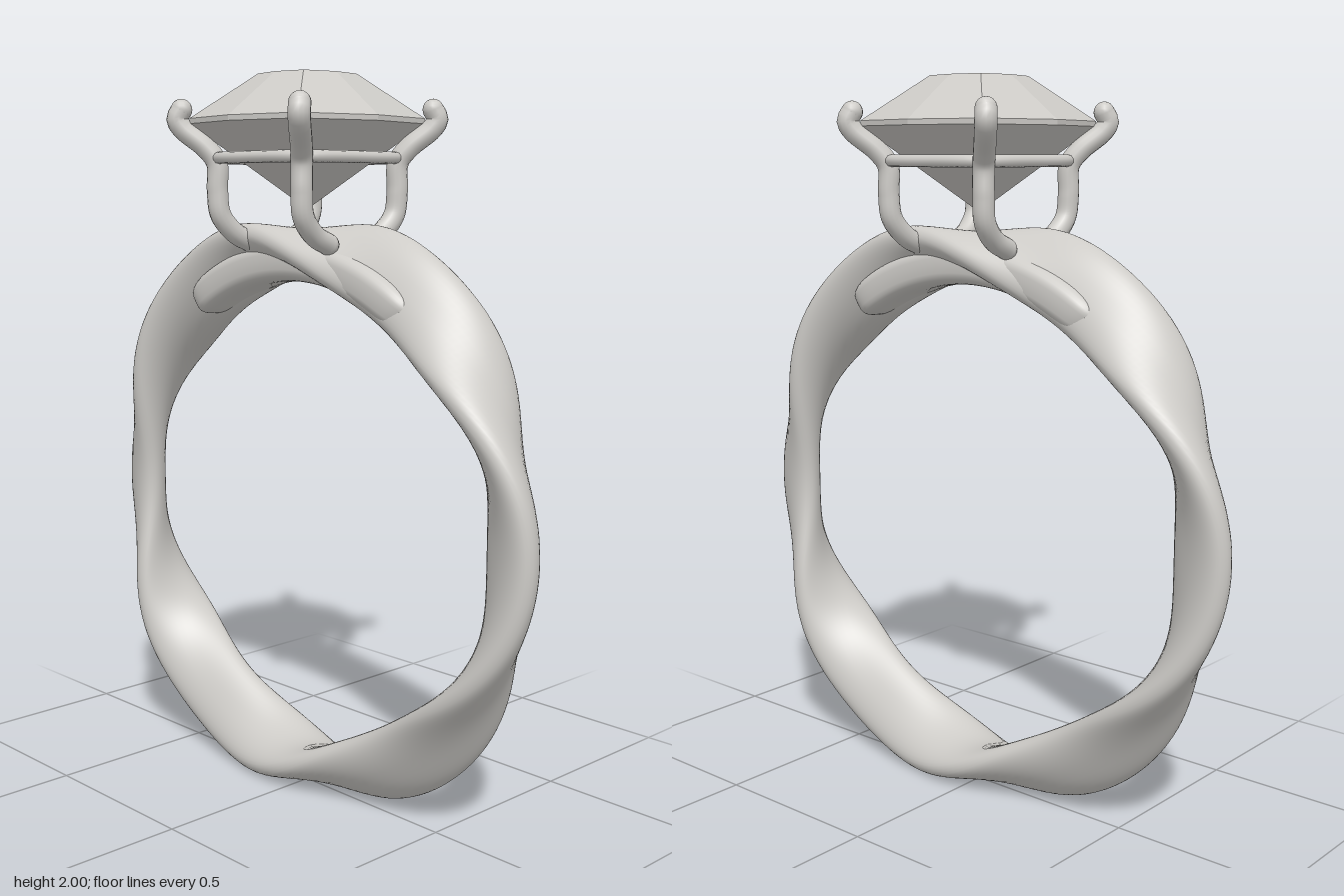
import * as THREE from 'three';

const metal = new THREE.MeshStandardMaterial({ color: 0xcdcbc7 });
metal.name = 'pale silver';

const CENTRE_Y = 0.8;

// Sweep a section around the finger hole: section(t, s) gives [angle, radius, z]
function sweep(section, nT, nS, closed) {
  const pos = [], index = [];
  const rows = closed ? nT : nT + 1;
  for (let i = 0; i < rows; i++) {
    for (let j = 0; j < nS; j++) {
      const [angle, r, z] = section(i / nT, (j / nS) * Math.PI * 2);
      pos.push(r * Math.cos(angle), CENTRE_Y + r * Math.sin(angle), z);
    }
  }
  for (let i = 0; i < nT; i++) {
    for (let j = 0; j < nS; j++) {
      const i2 = (i + 1) % rows, j2 = (j + 1) % nS;
      const a = i * nS + j, b = i * nS + j2, c = i2 * nS + j, d = i2 * nS + j2;
      index.push(a, b, c, b, d, c);
    }
  }
  const g = new THREE.BufferGeometry();
  g.setAttribute('position', new THREE.Float32BufferAttribute(pos, 3));
  g.setIndex(index);
  g.computeVertexNormals();
  return g;
}

const soft = (v, p) => Math.sign(v) * Math.abs(v) ** p;

// Flat oval section that rocks to and fro three times round the ring
function bandSection(t, s) {
  const angle = t * Math.PI * 2;
  const tilt = 1.03 * Math.cos(3 * angle);
  const u = 0.115 * soft(Math.cos(s), 0.9), v = 0.052 * soft(Math.sin(s), 0.9);
  return [
    angle,
    0.738 + u * Math.sin(tilt) + v * Math.cos(tilt),
    u * Math.cos(tilt) - v * Math.sin(tilt),
  ];
}

// Round-ended bar that thickens the top of the band
function bridgeSection(t, s) {
  const k = Math.sin((t - 0.5) * Math.PI);
  const scale = Math.sqrt(Math.max(0, 1 - Math.abs(k) ** 14));
  return [
    Math.PI / 2 + k * 0.66,
    0.7 + 0.056 * scale * soft(Math.sin(s), 0.6),
    0.087 * scale * soft(Math.cos(s), 0.6),
  ];
}

// Eight-sided cushion outline, scaled at each height; flat facets
function gemGeometry() {
  const outline = [];
  for (let i = 0; i < 8; i++) {
    const a = (i * Math.PI) / 4;
    const corner = i % 2;
    outline.push([
      Math.cos(a) * (corner ? 0.215 * Math.SQRT2 : 0.265),
      Math.sin(a) * (corner ? 0.235 * Math.SQRT2 : 0.28),
    ]);
  }
  const levels = [[0, 1.64], [1, 1.868], [1, 1.882], [0.415, 2], [0, 2]];
  const pos = [];
  const point = ([scale, y], i) => {
    const [x, z] = outline[i % 8];
    return [x * scale, y, z * scale];
  };
  for (let l = 0; l < levels.length - 1; l++) {
    const lo = levels[l], hi = levels[l + 1];
    for (let i = 0; i < 8; i++) {
      if (lo[0] > 0) pos.push(...point(lo, i), ...point(hi, i), ...point(lo, i + 1));
      if (hi[0] > 0) pos.push(...point(hi, i), ...point(hi, i + 1), ...point(lo, i + 1));
    }
  }
  const g = new THREE.BufferGeometry();
  g.setAttribute('position', new THREE.Float32BufferAttribute(pos, 3));
  g.computeVertexNormals();
  return g;
}

export function createModel() {
  const model = new THREE.Group();
  model.name = 'ring';
  const add = (name, geometry, parent = model) => {
    const mesh = new THREE.Mesh(geometry, metal);
    mesh.name = name;
    parent.add(mesh);
    return mesh;
  };

  add('band', sweep(bandSection, 240, 40, true));
  add('bridge', sweep(bridgeSection, 72, 32, false));
  add('gem', gemGeometry());

  // Four claws, one at each corner of the gem
  for (const sx of [1, -1]) {
    for (const sz of [1, -1]) {
      const claw = new THREE.Group();
      claw.name = 'claw';
      const points = [
        [0.155, 1.55, 0.07], [0.158, 1.575, 0.125], [0.165, 1.625, 0.17],
        [0.168, 1.69, 0.178], [0.169, 1.765, 0.179], [0.19, 1.805, 0.2],
        [0.232, 1.855, 0.245], [0.242, 1.88, 0.256], [0.234, 1.905, 0.246],
      ].map(([x, y, z]) => new THREE.Vector3(x * sx, y, z * sz));
      const path = new THREE.CatmullRomCurve3(points, false, 'centripetal');
      add('clawWire', new THREE.TubeGeometry(path, 48, 0.029, 14), claw);
      for (const end of [points[0], points[points.length - 1]]) {
        add('clawEnd', new THREE.SphereGeometry(0.029, 14, 10), claw).position.copy(end);
      }
      model.add(claw);
    }
  }

  // Thin wire joining the claws below the gem
  const gallery = [];
  for (let i = 0; i < 8; i++) {
    const a = (i * Math.PI) / 4;
    const r = i % 2 ? 0.168 * Math.SQRT2 : 0.195;
    gallery.push(new THREE.Vector3(r * Math.cos(a), 1.777, r * 1.05 * Math.sin(a)));
  }
  const loop = new THREE.CatmullRomCurve3(gallery, true);
  add('galleryWire', new THREE.TubeGeometry(loop, 80, 0.016, 10, true));

  return model;
}
